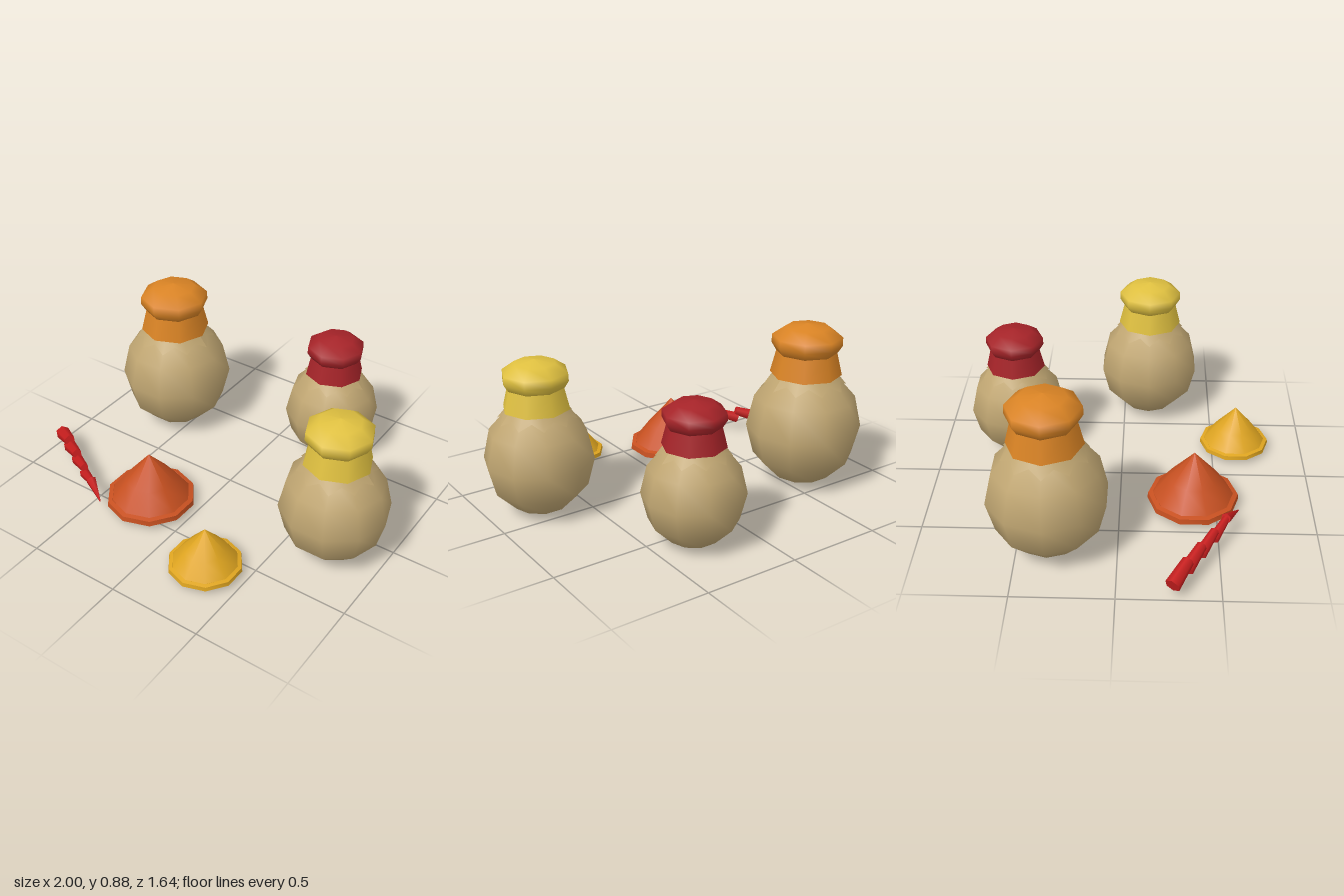
import * as THREE from 'three';
import { toCreasedNormals } from 'three/addons/utils/BufferGeometryUtils.js';

const material = (name, color, side = THREE.FrontSide) =>
  Object.assign(new THREE.MeshStandardMaterial({ color, side }), { name });

const mats = {
  cloth: material('tan cloth', 0xc0a672, THREE.DoubleSide),
  orange: material('orange lid', 0xd98324),
  red: material('dark red lid', 0xa52328),
  yellow: material('yellow lid', 0xdfc040),
  rust: material('rust spice', 0xc75020),
  gold: material('gold spice', 0xdfa520),
  chili: material('chili red', 0xc81e1e),
};

function part(name, geometry, mat, parent) {
  const mesh = new THREE.Mesh(geometry, mat);
  mesh.name = name;
  parent.add(mesh);
  return mesh;
}

const lathe = (pts, sides) =>
  new THREE.LatheGeometry(pts.map(([r, y]) => new THREE.Vector2(r, y)), sides);

// Jagged cloth skirt: every second vertex of the lower edge is a tooth tip
function frillGeometry(teeth) {
  const pos = [], index = [], n = teeth * 2;
  for (let i = 0; i <= n; i++) {
    const a = (i / n) * Math.PI * 2;
    const [r, y] = i % 2 ? [0.185, 0.588] : [0.218, 0.552];
    pos.push(0.15 * Math.cos(a), 0.635, 0.15 * Math.sin(a));
    pos.push(r * Math.cos(a), y, r * Math.sin(a));
    if (i < n) {
      const k = i * 2;
      index.push(k, k + 2, k + 1, k + 1, k + 2, k + 3);
    }
  }
  const g = new THREE.BufferGeometry();
  g.setAttribute('position', new THREE.Float32BufferAttribute(pos, 3));
  g.setIndex(index);
  g.computeVertexNormals();
  return g;
}

// Round sack with a frill and a tied, domed lid
function makeSack(name, x, z, scale, lidMat) {
  const sack = new THREE.Group();
  sack.name = name;
  const body = part('sackBody', lathe([
    [0, 0.01], [0.152, 0.047], [0.264, 0.16], [0.305, 0.32],
    [0.266, 0.488], [0.16, 0.605], [0.1, 0.64],
  ], 10), mats.cloth, sack);
  body.rotation.y = Math.PI / 2;
  part('sackFrill', frillGeometry(10), mats.cloth, sack);

  const skirt = part('lidSkirt', new THREE.CylinderGeometry(0.157, 0.188, 0.125, 8), lidMat, sack);
  skirt.position.y = 0.677;
  part('lidDome', lathe([
    [0.13, 0.73], [0.16, 0.735], [0.185, 0.775], [0.183, 0.82], [0.115, 0.868], [0, 0.887],
  ], 8), lidMat, sack);

  sack.scale.setScalar(scale);
  sack.position.set(x, 0, z);
  return sack;
}

// Shallow dish heaped with a cone of spice
function makeSpice(name, x, z, scale, mat) {
  const spice = new THREE.Group();
  spice.name = name;
  const dish = lathe([
    [0, 0], [0.13, 0], [0.19, 0.01], [0.187, 0.032], [0.168, 0.037], [0.155, 0.025],
  ], 10);
  part('dish', toCreasedNormals(dish, 0.7), mat, spice);
  part('spiceHeap', lathe([[0.167, 0.036], [0.105, 0.117], [0, 0.238]], 10), mat, spice);
  spice.scale.setScalar(scale);
  spice.position.set(x, 0.026, z);
  return spice;
}

// Tapered cylinder running from point a to point b
function taper(name, a, b, ra, rb, parent) {
  const dir = b.clone().sub(a);
  const mesh = part(name, new THREE.CylinderGeometry(rb, ra, dir.length(), 6), mats.chili, parent);
  mesh.position.copy(a).add(b).multiplyScalar(0.5);
  mesh.quaternion.setFromUnitVectors(new THREE.Vector3(0, 1, 0), dir.normalize());
}

// Crinkled chili lying on the ground, made of overlapping tilted segments
function makeChili() {
  const chili = new THREE.Group();
  chili.name = 'chili';
  const at = (t, y) => new THREE.Vector3(-0.98 + 0.57 * t, y, 0.265 + 0.34 * t);
  for (let i = 0; i < 4; i++) {
    const r = 0.04 - i * 0.004;
    taper('chiliSegment', at(i * 0.2, 0.08), at(i * 0.2 + 0.22, 0.125), r, r - 0.01, chili);
  }
  taper('chiliTip', at(0.79, 0.125), at(1, 0.085), 0.027, 0.003, chili);
  return chili;
}

export function createModel() {
  const model = new THREE.Group();
  model.name = 'spiceMarketSet';
  model.add(
    makeSack('orangeSack', -0.612, -0.34, 1, mats.orange),
    makeSack('redSack', 0.283, -0.585, 0.836, mats.red),
    makeSack('yellowSack', 0.72, 0.14, 0.92, mats.yellow),
    makeSpice('rustSpice', -0.25, 0.38, 1.25, mats.rust),
    makeSpice('goldSpice', 0.283, 0.625, 1, mats.gold),
    makeChili(),
  );
  return model;
}
